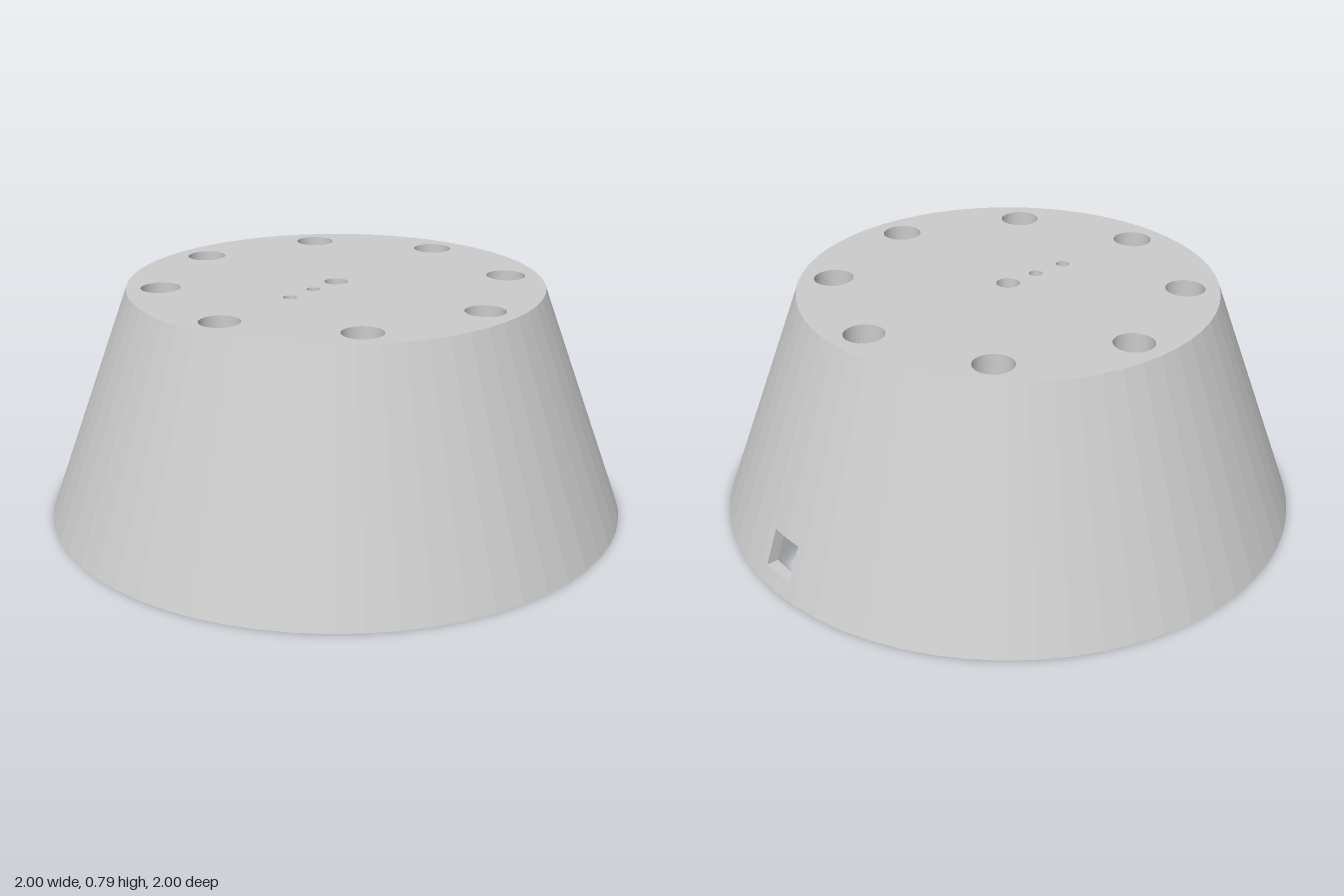
import * as THREE from 'three';

const SIDES = 60;
const STEP = (Math.PI * 2) / SIDES;
const HEIGHT = 0.79, CEILING = 0.75, WALL = 0.04;
const R_TOP = 0.71;
const SLOT = { half: 0.065, low: 0.055, high: 0.175 };
const POCKET_R = 0.067, POCKET_RING = 0.594;

// Conical wall with a rectangular cable slot at the back
function wallGeometry() {
  const pos = [];
  const quad = (a, b, c, d) => pos.push(...a, ...b, ...c, ...a, ...c, ...d);
  const radius = (y) => 1 - ((1 - R_TOP) * y) / HEIGHT;

  // each column gives x, z for a radius; the two slot columns stay at a constant x
  const corner = (k) => (r) => [r * Math.sin(k * STEP), -r * Math.cos(k * STEP)];
  const slotEdge = (s) => (r) => [s * SLOT.half, -r + SLOT.half * Math.tan(STEP / 2)];
  const cols = [corner(0), slotEdge(1)];
  for (let k = 1; k < SIDES; k++) cols.push(corner(k));
  cols.push(slotEdge(-1));

  const point = (col, y, inset) => {
    const [x, z] = col(radius(y) - inset);
    return [x, y, z];
  };
  const outerY = [0, SLOT.low, SLOT.high, HEIGHT];
  const innerY = [0, SLOT.low, SLOT.high, CEILING];
  const last = cols.length - 1;

  cols.forEach((col, i) => {
    const next = cols[(i + 1) % cols.length];
    const O = outerY.map((y) => point(col, y, 0));
    const P = outerY.map((y) => point(next, y, 0));
    const I = innerY.map((y) => point(col, y, WALL));
    const J = innerY.map((y) => point(next, y, WALL));
    const open = i === 0 || i === last;
    for (let r = 0; r < 3; r++) {
      if (open && r === 1) continue;
      quad(P[r], O[r], O[r + 1], P[r + 1]);
      quad(I[r], J[r], J[r + 1], I[r + 1]);
    }
    quad(O[0], P[0], J[0], I[0]); // bottom rim
    if (open) {
      quad(I[1], J[1], P[1], O[1]); // slot sill
      quad(O[2], P[2], J[2], I[2]); // slot lintel
    }
    if (i === last) quad(O[1], O[2], I[2], I[1]); // slot jambs
    if (i === 0) quad(J[1], J[2], P[2], P[1]);
  });

  const g = new THREE.BufferGeometry();
  g.setAttribute('position', new THREE.Float32BufferAttribute(pos, 3));
  g.computeVertexNormals();
  return g;
}

// Top plate pierced by the pockets and the three centre holes
function plateGeometry(pockets) {
  const rim = [];
  for (let k = 0; k < SIDES; k++) {
    rim.push(new THREE.Vector2(R_TOP * Math.cos(k * STEP), R_TOP * Math.sin(k * STEP)));
  }
  const shape = new THREE.Shape(rim);
  const hole = (x, z, r) => {
    const path = new THREE.Path();
    path.absarc(x, -z, r, 0, Math.PI * 2, true);
    shape.holes.push(path);
  };
  pockets.forEach(([x, z]) => hole(x, z, POCKET_R));
  hole(0, 0, 0.04);
  hole(0, 0.125, 0.023);
  hole(0, 0.25, 0.023);
  const g = new THREE.ExtrudeGeometry(shape, {
    depth: HEIGHT - CEILING, bevelEnabled: false, curveSegments: 32,
  });
  return g.rotateX(-Math.PI / 2).translate(0, CEILING, 0);
}

// Cup hanging below the plate that closes one pocket
function cupGeometry() {
  const profile = [
    [0, 0.67], [0.104, 0.67], [0.104, CEILING],
    [POCKET_R, CEILING], [POCKET_R, 0.71], [0, 0.71],
  ].map(([r, y]) => new THREE.Vector2(r, y));
  return new THREE.LatheGeometry(profile, 32);
}

export function createModel() {
  const model = new THREE.Group();
  model.name = 'taperedBase';
  const material = new THREE.MeshStandardMaterial({ color: 0xcccccc, flatShading: true });
  const add = (name, geometry) => {
    const mesh = new THREE.Mesh(geometry, material);
    mesh.name = name;
    model.add(mesh);
    return mesh;
  };

  const pockets = [];
  for (let i = 0; i < 8; i++) {
    const a = (i * Math.PI) / 4;
    pockets.push([POCKET_RING * Math.cos(a), POCKET_RING * Math.sin(a)]);
  }

  add('wall', wallGeometry());
  add('topPlate', plateGeometry(pockets));
  const cup = cupGeometry();
  pockets.forEach(([x, z], i) => add(`pocketCup${i + 1}`, cup).position.set(x, 0, z));
  return model;
}
